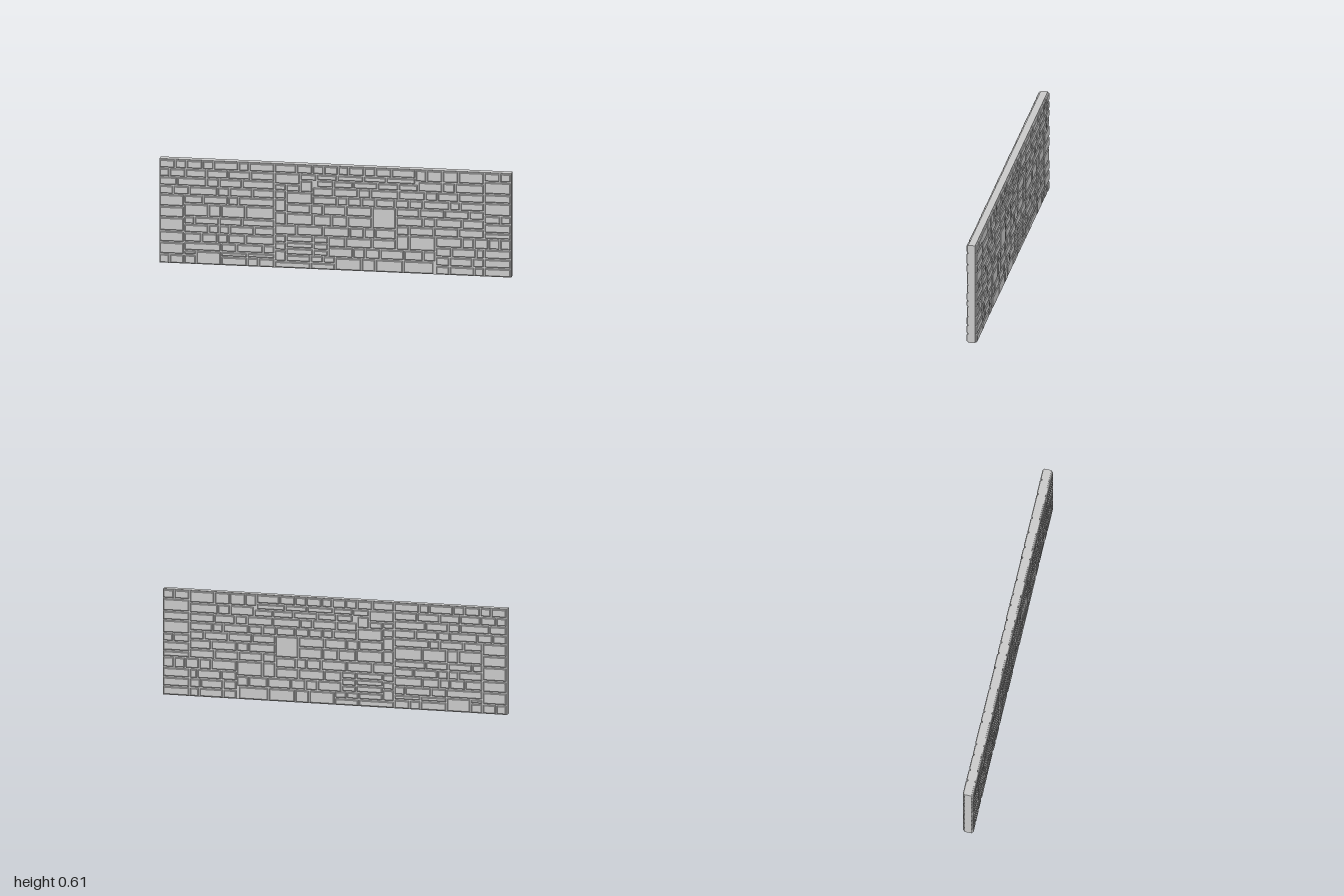
import * as THREE from 'three';
import { mergeGeometries } from 'three/addons/utils/BufferGeometryUtils.js';

const HEIGHT = 0.61, CORE = 0.02, FACE = 0.031, GAP = 0.0045, BEVEL = 0.004;

// One dressed stone: a box whose outer face is drawn in to form a chamfer
function stone(x0, x1, y0, y1, face) {
  const w = x1 - x0 - 2 * GAP, h = y1 - y0 - 2 * GAP;
  const g = new THREE.BoxGeometry(w, h, 1, 1, 1, 2);
  const p = g.attributes.position;
  for (let i = 0; i < p.count; i++) {
    const z = p.getZ(i), outer = z > 0.25;
    const inset = outer ? BEVEL : 0;
    p.setXYZ(i,
      p.getX(i) - Math.sign(p.getX(i)) * inset + (x0 + x1) / 2,
      p.getY(i) - Math.sign(p.getY(i)) * inset + (y0 + y1) / 2,
      outer ? face : z < -0.25 ? CORE - 0.004 : face - 0.004);
  }
  const flat = g.toNonIndexed();
  flat.computeVertexNormals();
  return flat;
}

export function createModel() {
  const wall = new THREE.Group();
  wall.name = 'stoneWall';
  const mat = new THREE.MeshStandardMaterial({ color: 0xcccccc, flatShading: true });

  // Solid slab behind the stones
  const core = new THREE.Mesh(new THREE.BoxGeometry(2, HEIGHT, 2 * CORE), mat);
  core.name = 'wallCore';
  core.position.y = HEIGHT / 2;
  wall.add(core);

  const stones = [];
  // A course is one row of stones split at the given x positions
  const course = (y0, y1, ...xs) => {
    for (let i = 0; i + 1 < xs.length; i++) {
      const depth = FACE - 0.0005 * (stones.length % 4);
      stones.push(stone(xs[i], xs[i + 1], y0, y1, depth));
    }
  };
  // A stack is one column of single stones split at the given heights
  const stack = (x0, x1, ...ys) => {
    for (let i = 0; i + 1 < ys.length; i++) course(ys[i], ys[i + 1], x0, x1);
  };

  // Top course
  course(0.558, 0.61, -1, -0.91, -0.845, -0.755, -0.69, -0.55, -0.49, -0.345, -0.22,
    -0.13, -0.065, 0.015, 0.075, 0.165, 0.23, 0.32, 0.455);
  course(0.54, 0.61, 0.455, 0.52, 0.61, 0.7, 0.845);

  // Left end
  course(0.508, 0.558, -1, -0.94, -0.85, -0.73, -0.61, -0.48, -0.345);
  course(0.457, 0.508, -1, -0.9, -0.73, -0.66, -0.53, -0.345);
  course(0.405, 0.457, -1, -0.92, -0.83, -0.67, -0.6, -0.47, -0.345);
  stack(-1, -0.86, 0.055, 0.125, 0.19, 0.27, 0.335, 0.405);
  course(0.355, 0.405, -0.86, -0.75, -0.61, -0.55, -0.345);
  course(0.28, 0.355, -0.86, -0.72, -0.65, -0.51, -0.345);
  course(0.235, 0.28, -0.86, -0.8, -0.66, -0.53, -0.345);
  course(0.185, 0.235, -0.86, -0.72, -0.66, -0.6, -0.46, -0.345);
  course(0.13, 0.185, -0.86, -0.76, -0.67, -0.61, -0.51, -0.345);
  course(0.08, 0.13, -0.86, -0.65, -0.56, -0.41, -0.345);
  course(0.055, 0.08, -0.86, -0.79);
  course(0, 0.08, -0.79, -0.65);
  course(0.052, 0.08, -0.65, -0.5, -0.345);
  course(0, 0.055, -1, -0.94, -0.86, -0.79);
  course(0, 0.052, -0.65, -0.5, -0.435, -0.345);

  // Column of mixed stones beside the left end
  course(0.492, 0.558, -0.345, -0.2);
  course(0.518, 0.558, -0.2, -0.105);
  course(0.455, 0.492, -0.345, -0.28);
  course(0.45, 0.492, -0.28, -0.2);
  course(0.45, 0.518, -0.2, -0.13);
  course(0.405, 0.455, -0.345, -0.28);
  course(0.38, 0.45, -0.28, -0.13);
  course(0.33, 0.405, -0.345, -0.28);
  course(0.325, 0.38, -0.28, -0.14);
  course(0.255, 0.325, -0.28, -0.125);
  course(0.255, 0.33, -0.345, -0.28);
  course(0.195, 0.255, -0.345, -0.22, -0.07);
  stack(-0.345, -0.28, 0.105, 0.15, 0.195);
  stack(-0.28, -0.125, 0.08, 0.12, 0.155, 0.195);
  course(0.04, 0.105, -0.345, -0.28);
  course(0.04, 0.08, -0.28, -0.14);
  course(0, 0.04, -0.345, -0.14);
  stack(-0.125, -0.04, 0.08, 0.115, 0.155, 0.195);
  course(0.04, 0.08, -0.14, -0.07, 0);
  course(0, 0.04, -0.14, 0);

  // Middle
  course(0.523, 0.558, -0.105, 0.01, 0.16, 0.29, 0.455);
  course(0.482, 0.523, -0.105, -0.01, 0.1, 0.24, 0.36, 0.47);
  course(0.43, 0.482, -0.13, -0.01, 0.13, 0.2, 0.36);
  course(0.38, 0.43, -0.13, 0.01, 0.07, 0.15, 0.23, 0.34, 0.42, 0.5);
  course(0.32, 0.38, -0.14, -0.07, 0.06, 0.21);
  course(0.255, 0.38, 0.21, 0.345);
  course(0.255, 0.32, -0.125, -0.02, 0.07, 0.21);
  course(0.195, 0.255, -0.07, 0.08, 0.165, 0.225, 0.345);
  course(0.135, 0.195, -0.04, 0.06, 0.21, 0.345);
  course(0.075, 0.135, -0.04, 0.1, 0.17, 0.255, 0.39);
  course(0, 0.075, 0, 0.15, 0.23, 0.385, 0.56);

  // Right of middle
  course(0.482, 0.54, 0.47, 0.61, 0.68, 0.845);
  course(0.43, 0.482, 0.36, 0.51, 0.58, 0.7, 0.845);
  course(0.38, 0.43, 0.5, 0.65, 0.71, 0.845);
  course(0.33, 0.38, 0.345, 0.48, 0.62, 0.76, 0.845);
  course(0.275, 0.33, 0.345, 0.5, 0.57, 0.72, 0.845);
  course(0.222, 0.275, 0.345, 0.42, 0.56, 0.7, 0.845);
  course(0.135, 0.222, 0.345, 0.42, 0.57);
  course(0.16, 0.222, 0.57, 0.72, 0.79, 0.87);
  course(0.105, 0.16, 0.57, 0.66, 0.8, 0.845);
  course(0.075, 0.135, 0.39, 0.5, 0.57);
  course(0.052, 0.105, 0.57, 0.65, 0.78, 0.845);
  course(0, 0.052, 0.57, 0.65, 0.79, 0.845);

  // Right end
  course(0.557, 0.61, 0.845, 0.935, 1);
  stack(0.845, 1, 0.358, 0.433, 0.485, 0.557);
  course(0.31, 0.358, 0.845, 0.94, 1);
  stack(0.845, 1, 0.222, 0.257, 0.31);
  course(0.16, 0.222, 0.87, 0.935, 1);
  stack(0.845, 1, 0, 0.052, 0.105, 0.16);

  // The same stonework on both faces, mirrored through the slab
  const frontGeo = mergeGeometries(stones);
  const front = new THREE.Mesh(frontGeo, mat);
  front.name = 'frontStones';
  const back = new THREE.Mesh(frontGeo, mat);
  back.name = 'backStones';
  back.scale.z = -1;
  wall.add(front, back);
  return wall;
}
